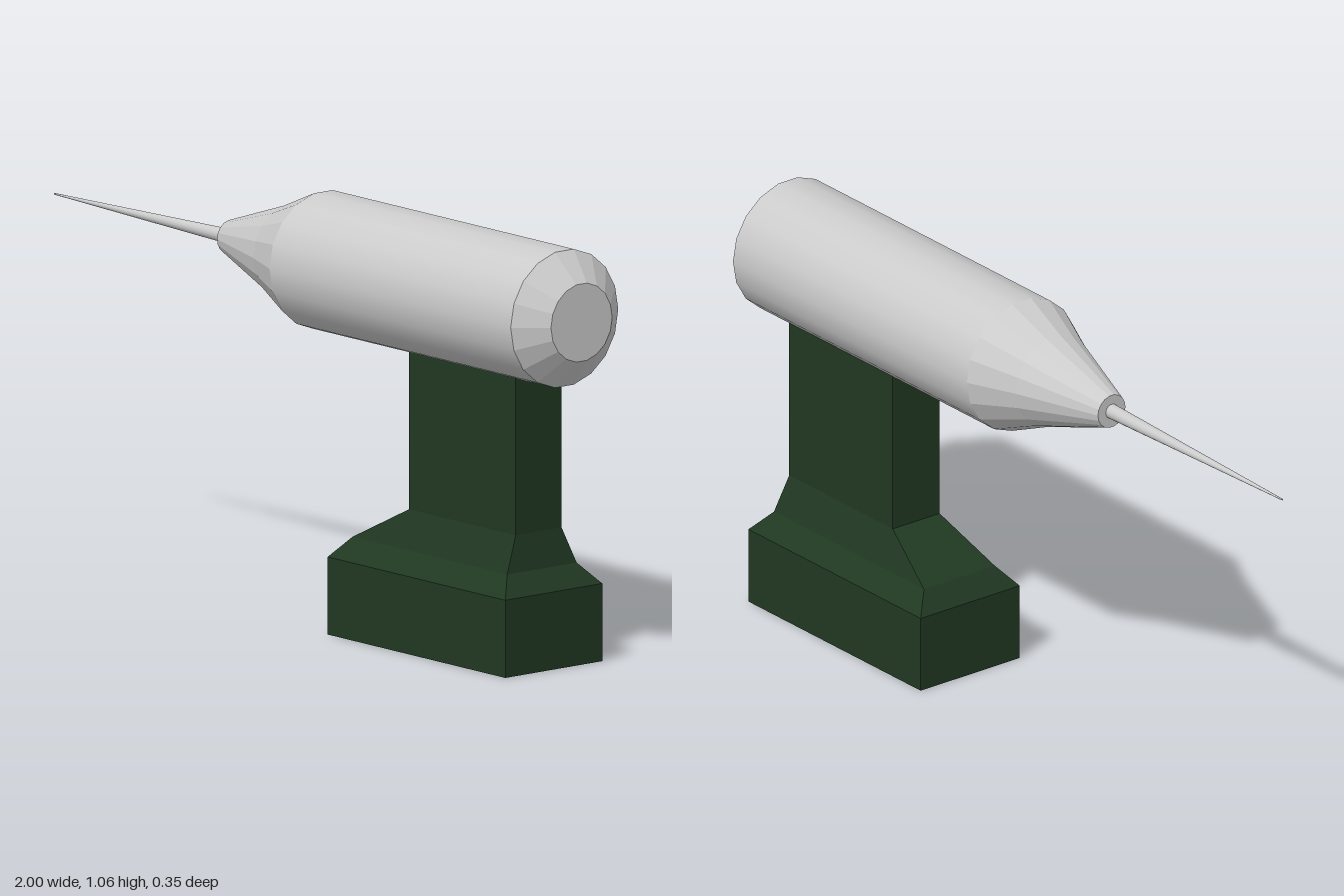
import * as THREE from 'three';

const AXIS_Y = 0.89;
const grey = new THREE.MeshStandardMaterial({ color: 0xcccccc });
const greyFlat = new THREE.MeshStandardMaterial({ color: 0xcccccc, flatShading: true });
const green = new THREE.MeshStandardMaterial({ color: 0x203822, flatShading: true });

// Turned part lying along x; profile is [x, radius] from tip to rear
function turned(name, profile, material, sides = 18) {
  const points = profile.map(([x, r]) => new THREE.Vector2(r, x));
  const geometry = new THREE.LatheGeometry(points, sides);
  geometry.rotateZ(-Math.PI / 2);
  const mesh = new THREE.Mesh(geometry, material);
  mesh.name = name;
  mesh.position.y = AXIS_Y;
  return mesh;
}

// Solid through rectangular sections [y, xMin, xMax, zMin, zMax], bottom to top
function rectLoft(name, sections, material) {
  const positions = [];
  const index = [];
  for (const [y, x0, x1, z0, z1] of sections) {
    positions.push(x0, y, z1, x1, y, z1, x1, y, z0, x0, y, z0);
  }
  for (let s = 0; s < sections.length - 1; s++) {
    for (let i = 0; i < 4; i++) {
      const a = s * 4 + i;
      const b = s * 4 + (i + 1) % 4;
      index.push(a, b, b + 4, a, b + 4, a + 4);
    }
  }
  const t = (sections.length - 1) * 4;
  index.push(0, 2, 1, 0, 3, 2, t, t + 1, t + 2, t, t + 2, t + 3);
  const indexed = new THREE.BufferGeometry();
  indexed.setAttribute('position', new THREE.Float32BufferAttribute(positions, 3));
  indexed.setIndex(index);
  const geometry = indexed.toNonIndexed();
  geometry.computeVertexNormals();
  const mesh = new THREE.Mesh(geometry, material);
  mesh.name = name;
  return mesh;
}

export function createModel() {
  const model = new THREE.Group();
  model.name = 'powerDrill';

  // Motor housing: smooth barrel, faceted nose and bevelled rear cap
  model.add(turned('barrel', [[0.02, 0.172], [0.935, 0.172]], grey));
  model.add(turned('nose', [[-0.332, 0], [-0.332, 0.043], [-0.105, 0.119], [0.02, 0.172]], greyFlat));
  model.add(turned('rearCap', [[0.935, 0.172], [1, 0.098], [1, 0]], greyFlat));

  // Long tapering bit
  model.add(turned('drillBit', [[-1, 0.002], [-0.32, 0.019]], grey));
  model.add(turned('bitTip', [[-1, 0], [-1, 0.002]], greyFlat));

  // Grip running up into the barrel, flaring into the battery below
  model.add(rectLoft('grip', [
    [0.194, 0.198, 0.872, -0.174, 0.136],
    [0.245, 0.24, 0.827, -0.13, 0.092],
    [0.336, 0.41, 0.815, -0.092, 0.055],
    [0.78, 0.41, 0.815, -0.092, 0.055],
  ], green));
  model.add(rectLoft('battery', [
    [0, 0.198, 0.872, -0.174, 0.136],
    [0.194, 0.198, 0.872, -0.174, 0.136],
  ], green));

  return model;
}
